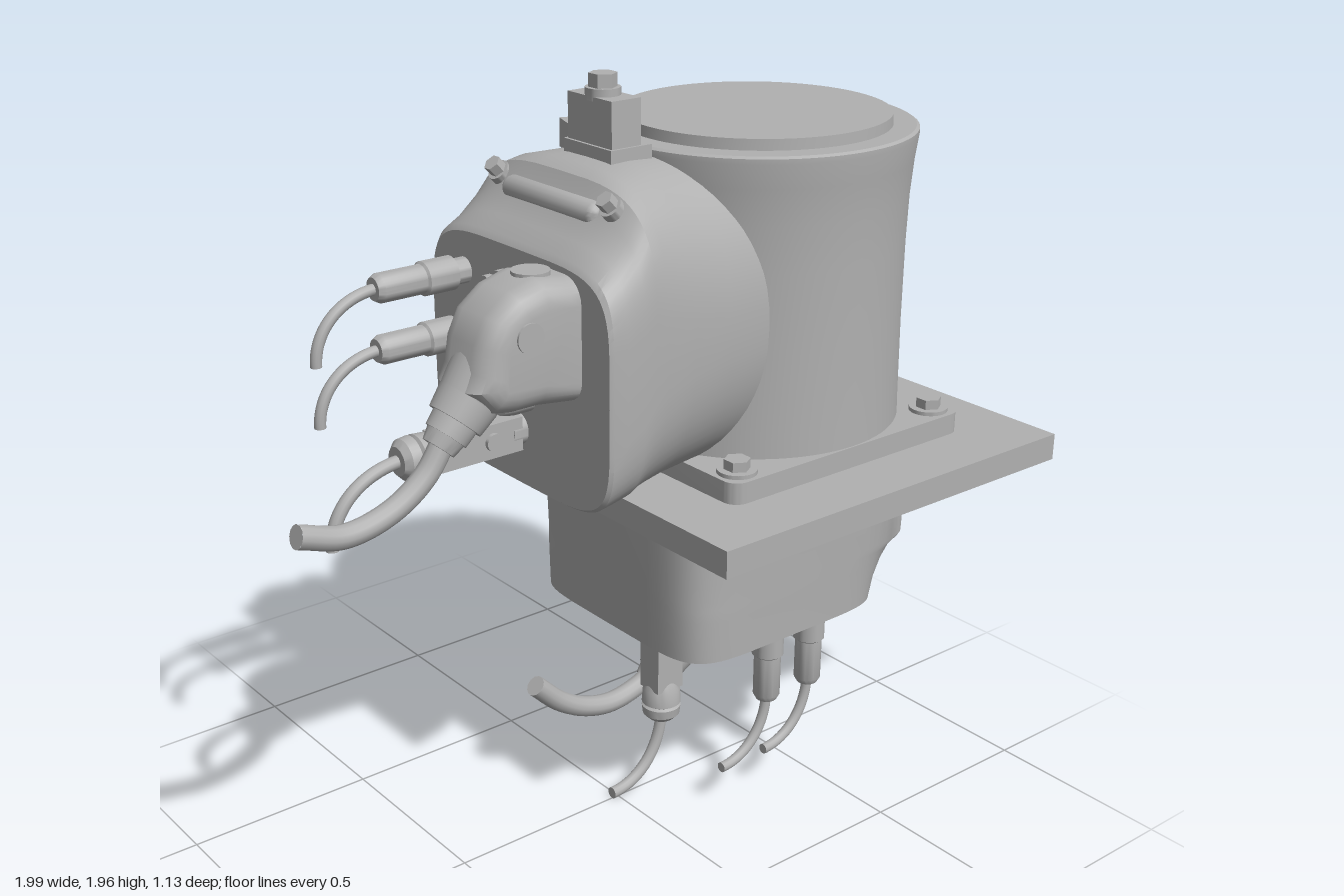
import * as THREE from 'three';
import { toCreasedNormals } from 'three/addons/utils/BufferGeometryUtils.js';

const metal = new THREE.MeshStandardMaterial({ color: 0xb0b0b0 });
metal.name = 'light grey metal';

const V = (x, y, z) => new THREE.Vector3(x, y, z);

function add(parent, name, geo, crease = 0.6) {
  const m = new THREE.Mesh(crease ? toCreasedNormals(geo, crease) : geo, metal);
  m.name = name;
  parent.add(m);
  return m;
}

// Box from its centre and size
function box(parent, name, [x, y, z], [w, h, d]) {
  const m = add(parent, name, new THREE.BoxGeometry(w, h, d));
  m.position.set(x, y, z);
  return m;
}

// Round or hexagonal rod between two points
function rod(parent, name, a, b, ra, rb = ra, sides = 28) {
  const m = add(parent, name, new THREE.CylinderGeometry(rb, ra, a.distanceTo(b), sides));
  m.position.copy(a).lerp(b, 0.5);
  m.quaternion.setFromUnitVectors(V(0, 1, 0), b.clone().sub(a).normalize());
  return m;
}

// Turned part sticking out toward -x; profile is [radius, distance]
function turned(parent, name, [x, y, z], profile) {
  const pts = profile.map(([r, d]) => new THREE.Vector2(r, d));
  const m = add(parent, name, new THREE.LatheGeometry(pts, 28).rotateZ(Math.PI / 2));
  m.position.set(x, y, z);
}

// Bent cable with closed ends
function cable(parent, name, curve, r) {
  add(parent, name, new THREE.TubeGeometry(curve, 32, r, 12), 0);
  for (const t of [0, 1]) {
    const end = add(parent, name + 'End', new THREE.CircleGeometry(r, 12), 0);
    end.position.copy(curve.getPointAt(t));
    end.quaternion.setFromUnitVectors(V(0, 0, 1), curve.getTangentAt(t).multiplyScalar(t ? 1 : -1));
  }
}

// Housing lofted along x; section is [x, bottom, top, half width, squareness]
function loft(parent, name, sections, n = 64) {
  const pos = [], idx = [];
  const pw = (v, e) => Math.sign(v) * Math.abs(v) ** e;
  for (const [x, lo, hi, hw, e] of sections)
    for (let j = 0; j < n; j++) {
      const a = (j / n) * Math.PI * 2;
      pos.push(x, (lo + hi) / 2 + pw(Math.sin(a), 2 / e) * (hi - lo) / 2, pw(Math.cos(a), 2 / e) * hw);
    }
  const last = (sections.length - 1) * n, c0 = pos.length / 3;
  for (const s of [sections[0], sections[sections.length - 1]]) pos.push(s[0], (s[1] + s[2]) / 2, 0);
  for (let j = 0; j < n; j++) {
    const k = (j + 1) % n;
    for (let i = 0; i < last; i += n) idx.push(i + j, i + n + j, i + n + k, i + j, i + n + k, i + k);
    idx.push(c0, j, k, c0 + 1, last + k, last + j);
  }
  const g = new THREE.BufferGeometry();
  g.setAttribute('position', new THREE.Float32BufferAttribute(pos, 3));
  g.setIndex(idx);
  add(parent, name, g, 0.5);
}

// Connector set on a panel at x = -0.3, facing -x
function connectors(parent, cablePoints) {
  const P = -0.3;

  // Angled power plug
  const outline = [[-0.24, 1.57], [-0.32, 1.575], [-0.39, 1.585], [-0.46, 1.565], [-0.52, 1.52], [-0.55, 1.46],
    [-0.56, 1.4], [-0.58, 1.36], [-0.53, 1.3], [-0.47, 1.29], [-0.4, 1.29], [-0.24, 1.27]];
  const shape = new THREE.Shape(outline.map(([x, y]) => new THREE.Vector2(x, y)));
  const head = new THREE.ExtrudeGeometry(shape, {
    depth: 0.08, bevelThickness: 0.06, bevelSize: 0.06, bevelOffset: -0.06, bevelSegments: 6 });
  add(parent, 'powerPlugHead', head.translate(0, 0, 0.11), 0.7);
  rod(parent, 'powerPlugDial', V(-0.365, 1.55, 0.15), V(-0.365, 1.588, 0.15), 0.045);
  rod(parent, 'powerPlugSideDial', V(-0.44, 1.47, 0.2), V(-0.44, 1.47, 0.255), 0.035);
  const a = V(-0.49, 1.38, 0.15), b = V(-0.63, 1.22, 0.15);
  const at = t => a.clone().lerp(b, t);
  rod(parent, 'powerPlugNeck', at(0), at(0.4), 0.085, 0.07);
  rod(parent, 'powerPlugCollar', at(0.35), at(0.62), 0.073, 0.066);
  rod(parent, 'powerPlugNut', at(0.62), at(0.8), 0.055, 0.052);
  rod(parent, 'powerPlugGland', at(0.8), at(0.95), 0.047, 0.04);
  cable(parent, 'powerCable', new THREE.CatmullRomCurve3(cablePoints.map(([x, y]) => V(x, y, 0.15))), 0.028);

  // Quarter bend for the thin cables
  const bend = (x, y, z, dx, dy, r) => cable(parent, 'thinCable', new THREE.CubicBezierCurve3(
    V(x, y, z), V(x - dx * 0.55, y, z), V(x - dx, y - dy * 0.4, z), V(x - dx, y - dy, z)), r);

  // Two slim round plugs
  for (const y of [1.49, 1.34]) {
    turned(parent, 'slimPlug', [P, y, -0.21], [[0.032, -0.02], [0.032, 0.04], [0.042, 0.04], [0.042, 0.12],
      [0.036, 0.125], [0.036, 0.24], [0.028, 0.255], [0, 0.255]]);
    bend(-0.54, y, -0.21, 0.175, 0.155, 0.014);
  }

  // Boxy plug with a ringed collar
  turned(parent, 'boxyPlugSocket', [P, 1.15, 0], [[0.04, -0.02], [0.04, 0.04], [0, 0.04]]);
  box(parent, 'boxyPlugBody', [-0.43, 1.15, 0], [0.23, 0.085, 0.075]);
  rod(parent, 'boxyPlugScrew', V(-0.4, 1.15, -0.048), V(-0.4, 1.15, 0.048), 0.022);
  turned(parent, 'boxyPlugCollar', [P, 1.15, 0], [[0.035, 0.22], [0.05, 0.25], [0.053, 0.29], [0.045, 0.295],
    [0.053, 0.3], [0.05, 0.325], [0.035, 0.34], [0, 0.34]]);
  bend(-0.62, 1.15, 0, 0.199, 0.17, 0.016);

  // Small fittings and screws on the panel
  for (const [y, z] of [[1.24, -0.12], [1.17, -0.12], [1.5, -0.04]])
    turned(parent, 'fitting', [P, y, z], [[0.032, -0.02], [0.032, 0.025], [0.02, 0.025], [0.02, 0.04],
      [0.027, 0.04], [0.027, 0.06], [0, 0.06]]);
  turned(parent, 'vent', [P, 1.24, 0.035], [[0.036, -0.02], [0.036, 0.05], [0.03, 0.08], [0, 0.08]]);
}

// Sloped shoulder: two screws with a raised rib between them
function shoulder(parent, x, y) {
  for (const z of [-0.215, 0.215]) {
    rod(parent, 'shoulderScrew', V(x + 0.03, y - 0.06, z), V(x - 0.03, y + 0.005, z), 0.022, 0.022, 6);
    rod(parent, 'screwWasher', V(x + 0.03, y - 0.06, z), V(x - 0.012, y - 0.015, z), 0.028);
  }
  const rib = add(parent, 'shoulderRib', new THREE.CapsuleGeometry(0.03, 0.3, 6, 16).rotateX(Math.PI / 2));
  rib.position.set(x - 0.01, y - 0.045, 0);
}

export function createModel() {
  const root = new THREE.Group();
  root.name = 'motorUnit';
  const CX = 0.433;

  // Mounting plate
  box(root, 'mountingPlate', [0.4325, 0.95, 0], [1.135, 0.07, 1.13]);

  // Flared round column and its cap
  const profile = [[0.392, 0.98], [0.389, 1.1], [0.386, 1.3], [0.386, 1.5], [0.389, 1.62], [0.396, 1.71],
    [0.404, 1.77], [0.404, 1.783], [0.396, 1.788], [0, 1.788]].map(([r, y]) => new THREE.Vector2(r, y));
  add(root, 'column', new THREE.LatheGeometry(profile, 80), 0.5).position.x = CX;
  rod(root, 'columnCap', V(CX, 1.78, 0), V(CX, 1.815, 0), 0.34, 0.338, 80);

  // Square foot with rounded corners, pads and bolts
  const s = 0.395, r = 0.04, foot = new THREE.Shape();
  foot.moveTo(-s + r, -s);
  for (let k = 0; k < 4; k++) {
    const c = (k * Math.PI) / 2 - Math.PI / 4;
    const q = Math.SQRT2 * (s - r);
    foot.absarc(Math.cos(c) * q, Math.sin(c) * q, r, c - Math.PI / 4, c + Math.PI / 4, false);
  }
  const footGeo = new THREE.ExtrudeGeometry(foot, { depth: 0.055, bevelEnabled: false, curveSegments: 6 });
  add(root, 'foot', footGeo.rotateX(-Math.PI / 2)).position.set(CX, 0.985, 0);
  for (const sx of [-1, 1]) for (const sz of [-1, 1]) {
    const x = CX + sx * 0.333, z = sz * 0.333;
    rod(root, 'footPad', V(x, 1.03, z), V(x, 1.05, z), 0.05);
    rod(root, 'footBolt', V(x, 1.045, z), V(x, 1.075, z), 0.033, 0.033, 6);
    rod(root, 'plateScrew', V(x * 1.02, 0.912, z * 1.2), V(x * 1.02, 0.92, z * 1.2), 0.012);
  }

  // Side housing with its connectors
  const side = new THREE.Group();
  side.name = 'sideHousing';
  root.add(side);
  loft(side, 'sideShell', [[-0.3, 1.01, 1.59, 0.35, 5], [-0.29, 1.003, 1.605, 0.355, 5], [-0.25, 1.003, 1.635, 0.355, 4.6],
    [-0.2, 1.003, 1.69, 0.354, 4.2], [-0.165, 1.003, 1.75, 0.352, 3.7], [-0.13, 0.995, 1.768, 0.35, 3.2],
    [-0.04, 0.99, 1.775, 0.34, 2.7], [0.08, 0.985, 1.77, 0.327, 2.4], [0.25, 0.985, 1.76, 0.31, 2.3]]);
  shoulder(side, -0.18, 1.73);
  connectors(side, [[-0.6, 1.255], [-0.66, 1.17], [-0.75, 1.11], [-0.87, 1.085], [-0.985, 1.117]]);

  // Lower housing: the same layout turned to face down
  const lower = new THREE.Group();
  lower.name = 'lowerHousing';
  lower.quaternion.setFromAxisAngle(V(1, 1, 0).normalize(), Math.PI);
  lower.position.set(-1, 0.835, 0);
  root.add(lower);
  loft(lower, 'lowerShell', [[-0.3, 0.972, 1.65, 0.34, 6], [-0.24, 0.97, 1.665, 0.341, 6], [-0.19, 0.968, 1.69, 0.342, 6],
    [-0.155, 0.967, 1.72, 0.343, 6], [-0.135, 0.966, 1.765, 0.343, 6], [0.1, 0.96, 1.768, 0.35, 6]]);
  shoulder(lower, -0.16, 1.735);
  connectors(lower, [[-0.59, 1.265], [-0.63, 1.18], [-0.645, 1.09], [-0.625, 1.0], [-0.58, 0.92], [-0.505, 0.84]]);

  // Lifting block on top with its bolt and side arm
  box(root, 'topBlock', [-0.04, 1.825, 0], [0.085, 0.17, 0.165]);
  box(root, 'topBlockFoot', [-0.03, 1.775, 0], [0.12, 0.05, 0.18]);
  rod(root, 'topWasher', V(-0.043, 1.9, 0), V(-0.043, 1.928, 0), 0.042);
  rod(root, 'topBolt', V(-0.043, 1.92, 0), V(-0.043, 1.96, 0), 0.034, 0.034, 6);
  box(root, 'topArm', [-0.02, 1.79, -0.12], [0.07, 0.07, 0.1]).rotation.y = -0.35;
  return root;
}
